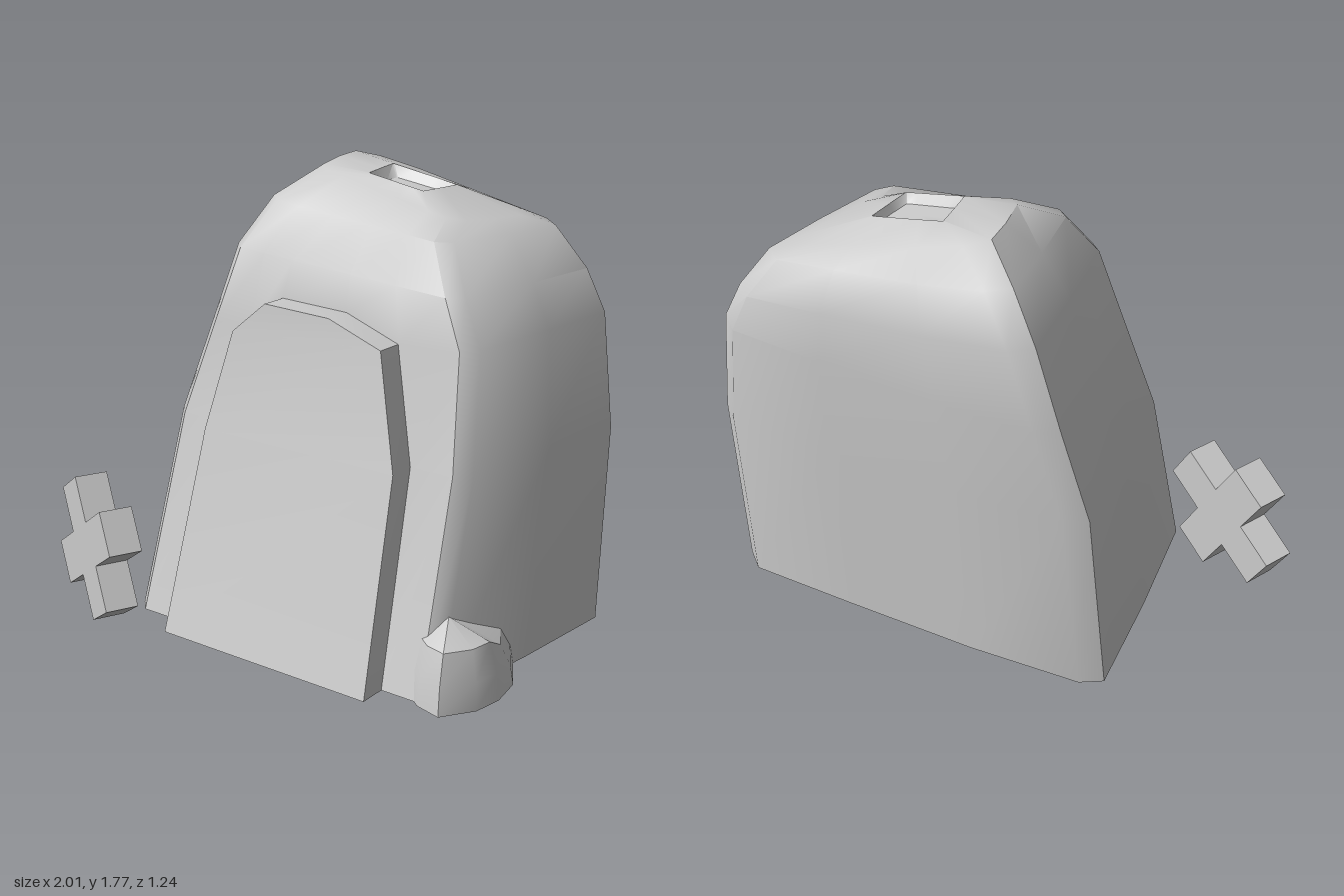
import * as THREE from 'three';
import { toCreasedNormals } from 'three/addons/utils/BufferGeometryUtils.js';

const material = new THREE.MeshStandardMaterial({ color: 0xcccccc, side: THREE.DoubleSide });

function addMesh(group, name, geometry) {
  const mesh = new THREE.Mesh(geometry, material);
  mesh.name = name;
  group.add(mesh);
  return mesh;
}

function fromPoints(points, index, crease) {
  const g = new THREE.BufferGeometry();
  g.setAttribute('position', new THREE.Float32BufferAttribute(points.flat(), 3));
  g.setIndex(index);
  return toCreasedNormals(g, crease);
}

// Joins closed rings (counter-clockwise from above, bottom to top) and caps the last
function loft(rings, crease, peak, skip = () => false) {
  const n = rings[0].length, index = [];
  for (let r = 0; r < rings.length - 1; r++) {
    for (let c = 0; c < n; c++) {
      if (skip(r, c)) continue;
      const a = r * n + c, b = r * n + (c + 1) % n;
      index.push(a, b, b + n, a, b + n, a + n);
    }
  }
  const last = (rings.length - 1) * n;
  for (let c = 0; c < n; c++) index.push(last + c, last + (c + 1) % n, rings.length * n);
  return fromPoints([...rings.flat(), peak], index, crease);
}

// One body ring: front/back depth, front/back corner x, height at left/right, chamfer size
function bodyRing({ y, z, front, back, cols, k = 1 }) {
  const [zf, zb] = z, [fl, fr] = front, [bl, br] = back;
  const mix = THREE.MathUtils.lerp;
  const xs = cols ?? [0.2, 0.4, 0.6, 0.8].map(t => mix(fl, fr, t));
  const plan = [
    [fl + 0.05 * k, zf], ...xs.map(x => [x, zf]), [fr - 0.05 * k, zf],
    [fr, zf - 0.05 * k], [mix(fr, br, 0.5) + 0.01 * k, mix(zf, zb, 0.5)], [br, zb + 0.07 * k],
    [br - 0.08 * k, zb], [mix(bl, br, 0.67), zb - 0.005 * k], [mix(bl, br, 0.33), zb - 0.005 * k],
    [bl + 0.08 * k, zb + 0.02 * k], [bl, zb + 0.07 * k],
    [mix(fl, bl, 0.5) - 0.01 * k, mix(zf, zb, 0.5)], [fl, zf - 0.05 * k],
  ];
  return plan.map(([x, d]) => [x, mix(y[0], y[1], THREE.MathUtils.clamp((x - bl) / (br - bl), 0, 1)), d]);
}

export function createModel() {
  const model = new THREE.Group();
  model.name = 'hut';

  // Leaning shell, ending in the sunken roof opening
  const rings = [
    { y: [0.1, 0.1], z: [0.48, -0.56], front: [-0.51, 0.84], back: [-0.62, 0.95], cols: [-0.265, 0, 0.3, 0.64] },
    { y: [0.85, 0.85], z: [0.28, -0.6], front: [-0.46, 0.83], back: [-0.56, 0.95], cols: [-0.22, 0, 0.28, 0.61] },
    { y: [1.2, 1.27], z: [0.21, -0.62], front: [-0.36, 0.8], back: [-0.455, 0.89], cols: [-0.14, 0, 0.28, 0.505] },
    { y: [1.5, 1.42], z: [0.18, -0.62], front: [-0.26, 0.72], back: [-0.36, 0.81], cols: [-0.1, 0.03, 0.28, 0.47] },
    { y: [1.67, 1.57], z: [0.07, -0.575], front: [-0.18, 0.6], back: [-0.255, 0.7] },
    { y: [1.775, 1.61], z: [-0.1, -0.49], front: [-0.08, 0.54], back: [-0.13, 0.6] },
    { y: [1.755, 1.705], z: [-0.155, -0.355], front: [0.12, 0.355], back: [0.09, 0.37], k: 0.06 },
    { y: [1.71, 1.675], z: [-0.178, -0.328], front: [0.14, 0.34], back: [0.125, 0.355], k: 0.06 },
  ].map(bodyRing);
  // Top of the door arch
  rings[2][2] = [0, 1.335, 0.2];
  rings[2][3] = [0.28, 1.325, 0.2];
  const inDoor = (r, c) => r < 2 && c >= 1 && c <= 3;
  addMesh(model, 'shell', loft(rings, 0.75, [0.24, 1.692, -0.25], inDoor));

  // Projecting door: side strip and front panel following the shell opening
  const outline = [rings[0][1], rings[1][1], ...rings[2].slice(1, 5), rings[1][4], rings[0][4]];
  const n = outline.length;
  const doorPoints = [...outline, ...outline.map(([x, y, z]) => [x, y, z + 0.105])];
  const doorIndex = [];
  for (let i = 0; i < n - 1; i++) doorIndex.push(i, i + n, i + n + 1, i, i + n + 1, i + 1);
  for (let i = 0; i < n / 2 - 1; i++) {
    const a = n + i, b = n + n - 1 - i;
    doorIndex.push(a, b, b - 1, a, b - 1, a + 1);
  }
  addMesh(model, 'door', fromPoints(doorPoints, doorIndex, 0.3));

  // Rock leaning against the front corner
  const base = [[0.75, 0.2], [0.7, 0.42], [0.8, 0.5], [0.9, 0.525], [0.98, 0.41], [1, 0.3], [0.98, 0.17], [0.89, 0.02]];
  const rockRings = [[0.1, 1], [0.2, 0.94], [0.31, 0.76]].map(([y, s]) => base.map(([x, z]) =>
    [0.84 + (x - 0.84) * s, y - (z < 0.25 ? (y - 0.1) * 0.25 : 0), 0.33 + (z - 0.33) * s]));
  addMesh(model, 'rock', loft(rockRings, 0.5, [0.83, 0.385, 0.36]));

  // Tilted cross beside the door
  const a = 0.0875, b = 0.27;
  const plus = new THREE.Shape([
    [-a, b], [-a, a], [-b, a], [-b, -a], [-a, -a], [-a, -b],
    [a, -b], [a, -a], [b, -a], [b, a], [a, a], [a, b],
  ].map(p => new THREE.Vector2(...p)));
  const crossGeometry = new THREE.ExtrudeGeometry(plus, { depth: 0.13, bevelEnabled: false }).translate(0, 0, -0.065);
  const cross = addMesh(model, 'cross', crossGeometry);
  cross.position.set(-0.73, 0.28, 0.44);
  cross.rotation.set(0, -0.43, 0.55);

  return model;
}
